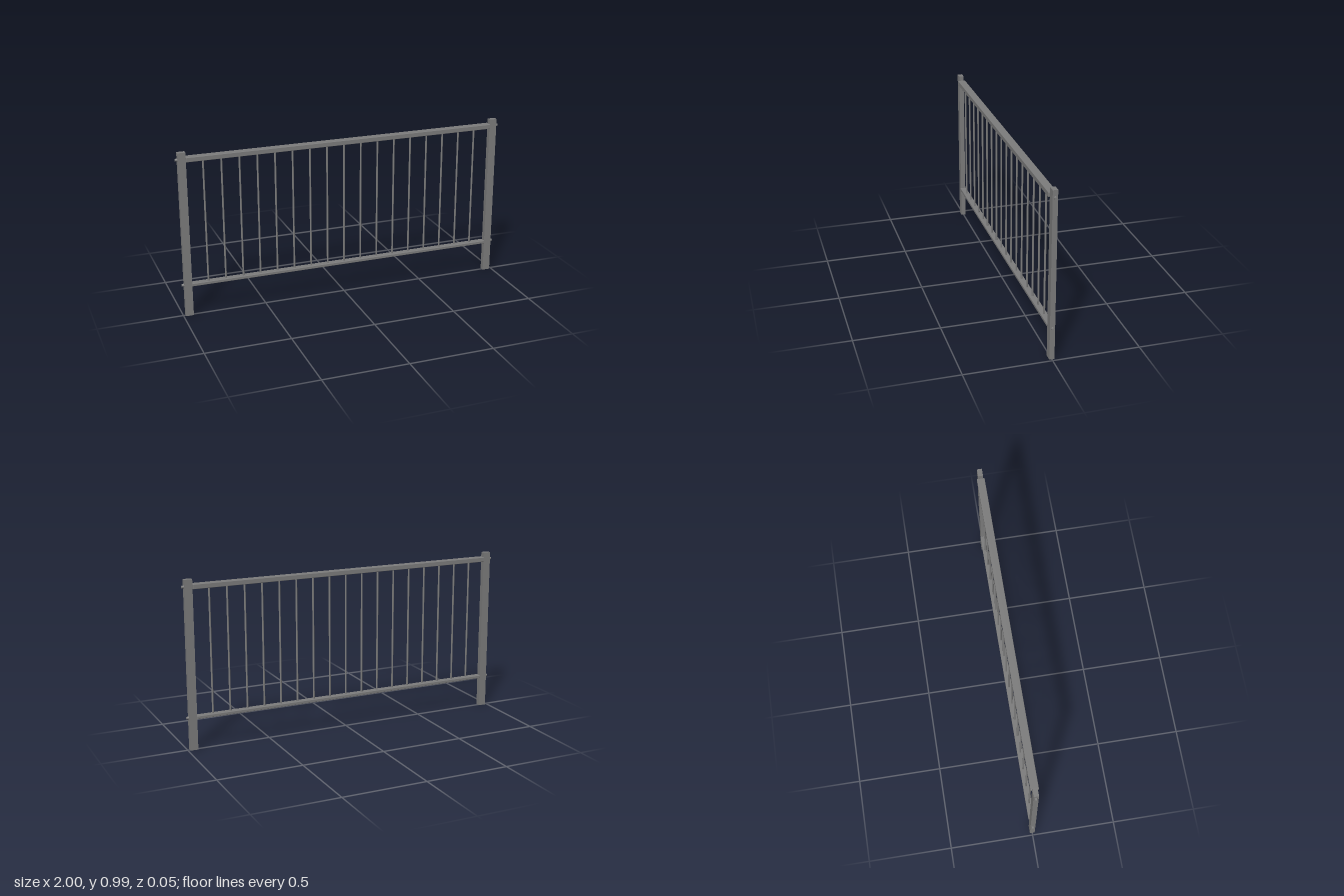
import * as THREE from 'three';
import { RoundedBoxGeometry } from 'three/addons/geometries/RoundedBoxGeometry.js';

const material = new THREE.MeshStandardMaterial({ color: 0x7c7c7c });

function add(parent, name, geometry, x, y, z = 0) {
  const mesh = new THREE.Mesh(geometry, material);
  mesh.name = name;
  mesh.position.set(x, y, z);
  parent.add(mesh);
  return mesh;
}

export function createModel() {
  const railing = new THREE.Group();
  railing.name = 'railing';

  const postX = 0.964, postWidth = 0.046, postHeight = 0.993;
  const railLength = 2 * (postX - postWidth / 2);
  const topRail = { y: 0.951, height: 0.028, depth: 0.046 };
  const bottomRail = { y: 0.1925, height: 0.018, depth: 0.038 };

  // Horizontal rails with softened edges between the posts
  for (const [name, r] of [['topRail', topRail], ['bottomRail', bottomRail]]) {
    add(railing, name, new RoundedBoxGeometry(railLength, r.height, r.depth, 2, 0.003), 0, r.y);
  }

  // Flat end posts with round bolt heads on their outer faces
  const postGeometry = new THREE.BoxGeometry(postWidth, postHeight, 0.029);
  const boltLength = 0.013;
  const boltGeometry = new THREE.CylinderGeometry(0.0075, 0.009, boltLength, 20);
  for (const [side, s] of [['left', 1], ['right', -1]]) {
    add(railing, side + 'Post', postGeometry, s * postX, postHeight / 2);
    for (const r of [topRail, bottomRail]) {
      const bolt = add(railing, side + 'Bolt', boltGeometry, s * (postX + postWidth / 2 + boltLength / 2), r.y);
      bolt.rotation.z = -s * Math.PI / 2;
    }
  }

  // Evenly spaced thin balusters
  const from = bottomRail.y + bottomRail.height / 2;
  const to = topRail.y - topRail.height / 2;
  const balusterGeometry = new THREE.CylinderGeometry(0.0055, 0.0055, to - from, 16);
  for (let i = -8; i <= 8; i++) {
    add(railing, 'baluster', balusterGeometry, i * 0.1052, (from + to) / 2);
  }

  return railing;
}
